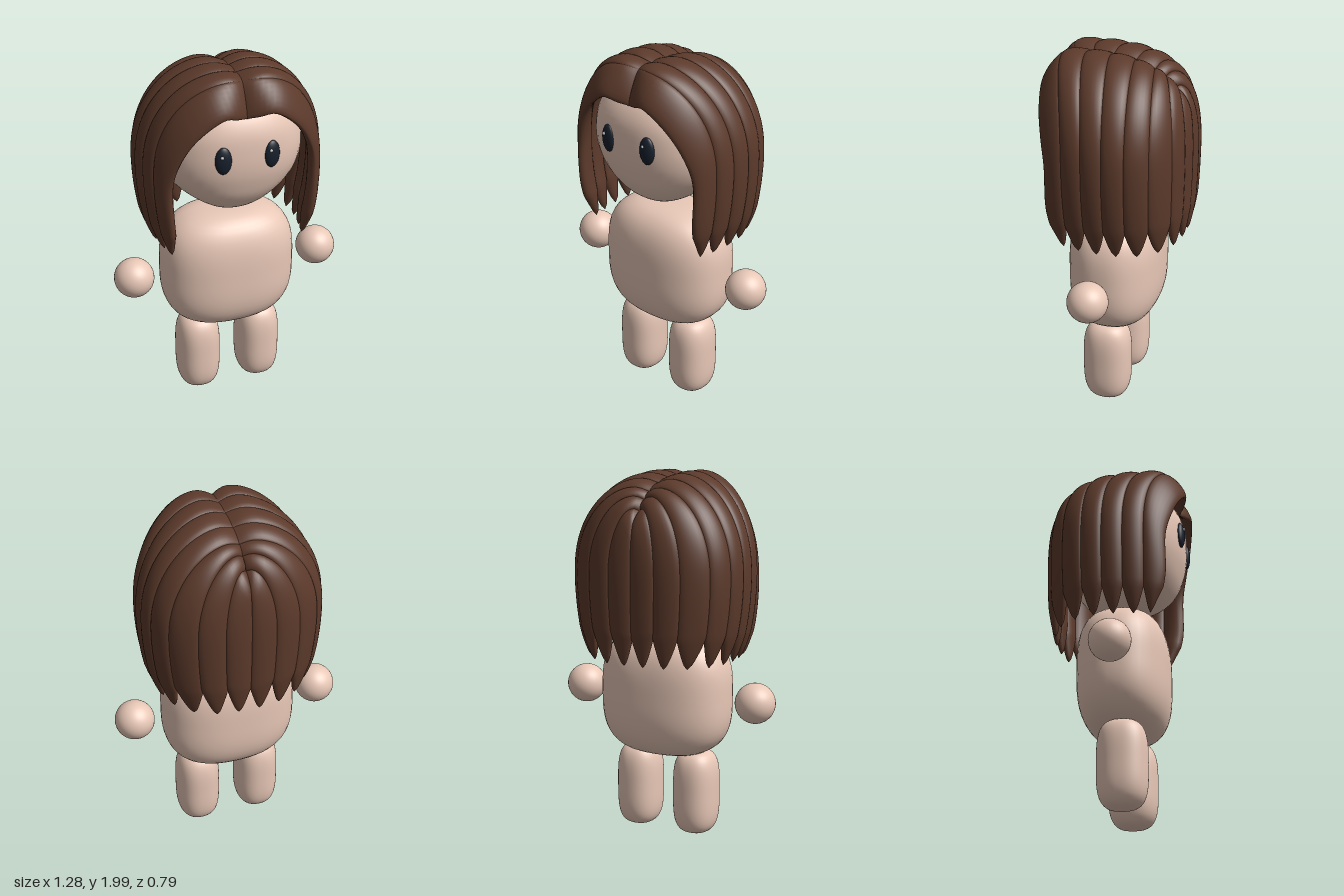
import * as THREE from 'three';

const V = (x, y, z) => new THREE.Vector3(x, y, z);
const mat = (color) => new THREE.MeshStandardMaterial({ color, roughness: 0.8 });
const skin = mat(0xe8c8b7), hairMat = mat(0x5c3a2b), eyeMat = mat(0x18202c), white = mat(0xffffff);

function add(parent, name, geometry, material, x = 0, y = 0, z = 0) {
  const mesh = new THREE.Mesh(geometry, material);
  mesh.name = name;
  mesh.position.set(x, y, z);
  parent.add(mesh);
  return mesh;
}

// Soft pillow: exponent m rounds the plan, n rounds the upright outline
function softBox(hx, hy, hz, m, n) {
  const g = new THREE.SphereGeometry(1, 48, 36);
  const { position: p, normal } = g.attributes;
  const pow = (a, e) => Math.sign(a) * Math.abs(a) ** e;
  for (let i = 0; i < p.count; i++) {
    const v = V(0, 0, 0).fromBufferAttribute(p, i);
    const plan = Math.abs(v.x) ** m + Math.abs(v.z) ** m;
    v.multiplyScalar((plan ** (n / m) + Math.abs(v.y) ** n) ** (-1 / n));
    p.setXYZ(i, v.x * hx, v.y * hy, v.z * hz);
    // Normals from the rule itself keep the sphere seam invisible
    const k = Math.max(1e-9, Math.abs(v.x) ** m + Math.abs(v.z) ** m) ** (n / m - 1);
    const d = V(k * pow(v.x, m - 1) / hx, pow(v.y, n - 1) / hy, k * pow(v.z, m - 1) / hz).normalize();
    normal.setXYZ(i, d.x, d.y, d.z);
  }
  return g;
}

// Skin over equal closed rings; flip turns the faces round
function skinRings(rings, flip = false) {
  const n = rings[0].length, index = [];
  for (let i = 0; i < rings.length - 1; i++) {
    for (let j = 0; j < n; j++) {
      const a = i * n + j, b = i * n + (j + 1) % n, c = a + n, d = b + n;
      index.push(...(flip ? [a, c, b, b, c, d] : [a, b, c, b, d, c]));
    }
  }
  const g = new THREE.BufferGeometry().setFromPoints(rings.flat());
  g.setIndex(index);
  g.computeVertexNormals();
  return g;
}

// Head: cross-sections of height, half width, half depth
function headGeometry() {
  const sections = [
    [1.17, 0.004, 0.004], [1.18, 0.07, 0.09], [1.21, 0.14, 0.17], [1.26, 0.215, 0.235], [1.33, 0.295, 0.285],
    [1.40, 0.35, 0.312], [1.48, 0.38, 0.332], [1.58, 0.385, 0.34], [1.70, 0.355, 0.33],
    [1.80, 0.28, 0.275], [1.87, 0.16, 0.16], [1.89, 0.004, 0.004],
  ];
  const curve = new THREE.CatmullRomCurve3(sections.map((s) => V(...s)));
  const rings = curve.getPoints(50).map((s) => {
    const ring = [];
    for (let j = 0; j < 48; j++) {
      const a = (j / 48) * Math.PI * 2, c = Math.cos(a), d = Math.sin(a);
      const r = (Math.abs(c) ** 2.3 + Math.abs(d) ** 2.3) ** (-1 / 2.3);
      ring.push(V(s.y * c * r, s.x, 0.03 + s.z * d * r));
    }
    return ring;
  });
  return skinRings(rings, true);
}

// Seam line between two locks: arcs out from the parting, then hangs down
function hairRail([zP, yP, hx, hz]) {
  const pts = [], yH = 1.45, n = 2.25;
  for (let i = 0; i <= 10; i++) {
    const s = Math.sin((i / 10) * Math.PI / 2);
    const bump = Math.sin(Math.PI * s ** 0.66);
    const y = yH + (yP - yH) * Math.max(0, 1 - s ** n) ** (1 / n);
    pts.push(V(hx * s, y + 0.025 * bump, zP + (hz - zP) * s + 0.2 * Math.max(0, zP) * bump));
  }
  for (let i = 1; i <= 4; i++) {
    const t = i / 4;
    pts.push(V(hx * (1 - 0.15 * t * t), yH - 0.46 * t, hz * (1 - 0.05 * t * t)));
  }
  return new THREE.CatmullRomCurve3(pts);
}

// Lock: rounded lens section between two rails, narrowing to a pointed tip
function lockGeometry(railA, railB, flip) {
  const rows = 48, sides = 20, rings = [];
  const taper = 0.16 / railB.getLength();
  for (let i = 0; i <= rows; i++) {
    const v = i / rows;
    const a = railA.getPointAt(v), b = railB.getPointAt(v);
    const tangent = railA.getTangentAt(v).add(railB.getTangentAt(v)).normalize();
    const across = b.clone().sub(a);
    const half = across.length() / 2;
    across.normalize();
    const out = tangent.clone().cross(across).normalize();
    if (i === 0) { out.x = 0; out.normalize(); }
    const mid = a.add(b).multiplyScalar(0.5);
    const left = Math.min(1, (1 - v) / taper);
    const w = half * 1.08 * (0.03 + 0.97 * left ** 0.65);
    const thick = (0.03 + 0.97 * Math.sqrt(left)) * (0.6 + 0.4 * Math.min(1, v / 0.1));
    const ring = [];
    for (let j = 0; j < sides; j++) {
      const t = (j / sides) * Math.PI * 2, s = Math.sin(t);
      const p = mid.clone().addScaledVector(across, w * Math.cos(t))
        .addScaledVector(out, thick * s * (s > 0 ? 0.028 : 0.04));
      p.x = Math.max(p.x, -0.01);
      if (flip) p.x *= -1;
      ring.push(p);
    }
    rings.push(ring);
  }
  return skinRings(rings, flip);
}

export function createModel() {
  const model = new THREE.Group();
  model.name = 'figure';

  add(model, 'body', softBox(0.375, 0.347, 0.25, 2.4, 3.1), skin, 0, 0.787, 0.02);
  add(model, 'head', headGeometry(), skin);

  // Limbs and eyes in pairs
  for (const [side, s] of [['left', 1], ['right', -1]]) {
    add(model, side + 'Leg', softBox(0.123, 0.235, 0.134, 2.3, 3.6), skin, s * 0.178, 0.235, 0.035);
    add(model, side + 'Hand', new THREE.SphereGeometry(0.11, 32, 24), skin, s * 0.532, 0.775, 0.03);
    const eye = add(model, side + 'Eye', new THREE.SphereGeometry(1, 32, 24), eyeMat, s * 0.13, 1.578, 0.355);
    eye.scale.set(0.043, 0.075, 0.024);
    eye.rotation.y = s * 0.15;
    add(model, side + 'EyeGlint', new THREE.SphereGeometry(0.009, 12, 8), white, s * 0.13 - 0.012, 1.606, 0.375);
  }

  // Hair: front rail frames the face, the rest run from forehead to nape
  const frame = [[0, 1.79, 0.335], [0.06, 1.805, 0.365], [0.13, 1.82, 0.385], [0.26, 1.73, 0.365], [0.345, 1.6, 0.33],
    [0.387, 1.45, 0.3], [0.385, 1.2, 0.295], [0.36, 1.0, 0.25]];
  // Parting z and y, then hanging x and z
  const seams = [
    [0.26, 1.95, 0.44, 0.19], [0.16, 1.955, 0.463, 0.08], [0.05, 1.95, 0.472, -0.03],
    [-0.07, 1.93, 0.455, -0.14], [-0.17, 1.89, 0.395, -0.25], [-0.22, 1.85, 0.27, -0.335],
    [-0.27, 1.79, 0.135, -0.365], [-0.33, 1.70, 0, -0.37],
  ];
  const rails = [new THREE.CatmullRomCurve3(frame.map((p) => V(...p))), ...seams.map(hairRail)];
  const hair = new THREE.Group();
  hair.name = 'hair';
  model.add(hair);
  for (let i = 0; i < rails.length - 1; i++) {
    add(hair, 'leftLock' + (i + 1), lockGeometry(rails[i], rails[i + 1], false), hairMat);
    add(hair, 'rightLock' + (i + 1), lockGeometry(rails[i], rails[i + 1], true), hairMat);
  }
  return model;
}
